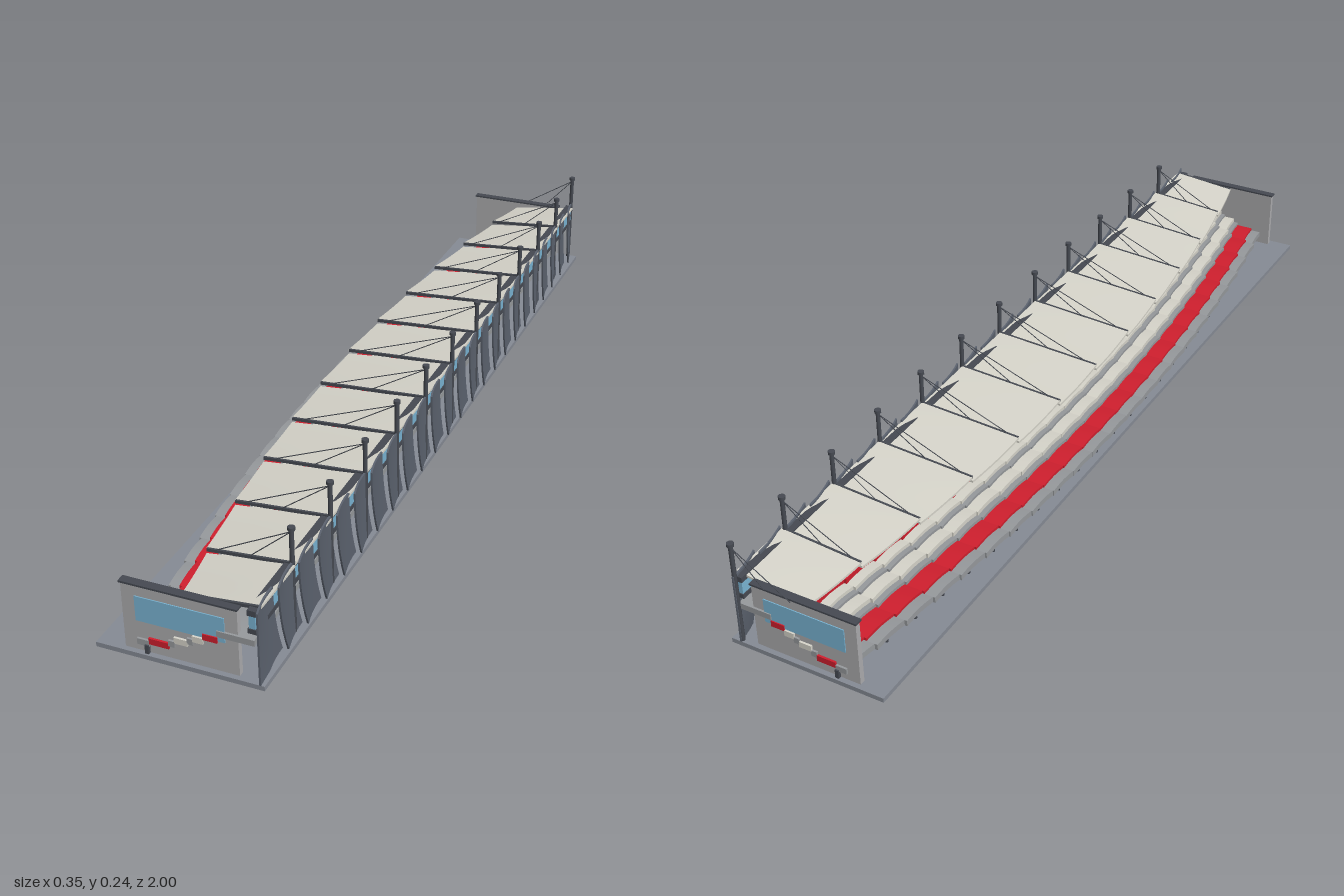
import * as THREE from 'three';
import { toCreasedNormals } from 'three/addons/utils/BufferGeometryUtils.js';

const mat = (name, color) => {
  const m = new THREE.MeshStandardMaterial({ color });
  m.name = name;
  return m;
};

export function createModel() {
  const M = {
    slate: mat('slate panels', 0x5d6470),
    dark: mat('dark steel', 0x464a52),
    base: mat('base grey', 0x868b95),
    wall: mat('wall grey', 0xacacae),
    step: mat('step grey', 0x96999c),
    cream: mat('cream', 0xd6d4ca),
    red: mat('red seats', 0xd01f2e),
    glass: mat('blue glass', 0x7ab5d4),
  };
  const model = new THREE.Group();
  const add = (name, geo, m, x = 0, y = 0, z = 0, parent = model) => {
    const mesh = new THREE.Mesh(geo, m);
    mesh.name = name;
    mesh.position.set(x, y, z);
    parent.add(mesh);
    return mesh;
  };
  // box given by its limits
  const box = (name, m, x0, x1, y0, y1, z0, z1, parent) =>
    add(name, new THREE.BoxGeometry(x1 - x0, y1 - y0, z1 - z0), m,
      (x0 + x1) / 2, (y0 + y1) / 2, (z0 + z1) / 2, parent);
  // box whose three 0..1 coordinates (x, y, z) are remapped by a rule
  const bent = (nx, ny, nz, rule) => {
    const g = new THREE.BoxGeometry(1, 1, 1, nx, ny, nz);
    const p = g.attributes.position;
    for (let i = 0; i < p.count; i++) {
      p.setXYZ(i, ...rule(p.getX(i) + 0.5, p.getY(i) + 0.5, p.getZ(i) + 0.5));
    }
    return toCreasedNormals(g, 0.5);
  };
  // straight round bar between two points
  const bar = (name, m, a, b, r, parent) => {
    const A = new THREE.Vector3(...a), B = new THREE.Vector3(...b);
    const d = B.clone().sub(A);
    const mesh = add(name, new THREE.CylinderGeometry(r, r, d.length(), 6), m, 0, 0, 0, parent);
    mesh.position.copy(A).add(B).multiplyScalar(0.5);
    mesh.quaternion.setFromUnitVectors(new THREE.Vector3(0, 1, 0), d.normalize());
  };
  const group = (name) => {
    const g = new THREE.Group();
    g.name = name;
    model.add(g);
    return g;
  };
  const lerp = THREE.MathUtils.lerp;
  const clamp = THREE.MathUtils.clamp;

  // plan curves: seating bow, roof front edge, back line
  const bow = (z) => -0.085 * (1 - z * z);
  const roofFront = (z) => -0.092 + 0.097 * z * z;
  const backX = (z) => 0.161 - 0.012 * z * z;

  box('base', M.base, -0.175, 0.17, 0, 0.01, -1, 1);

  // back wall of 24 overlapping curved panels
  const backWall = group('backWall');
  const N = 24;
  for (let i = 0; i < N; i++) {
    const z0 = -1 + (2 * i) / N;
    add('wallPanel', bent(1, 6, 5, (u, h, v) => {
      const sweep = i === 0 && v === 0 ? 0 : -0.03 * (1 - h) ** 2;
      const z = clamp(z0 + (v * 2) / N + (i === N - 1 && v === 1 ? 0 : sweep), -1, 1);
      return [backX(z) - 0.003 + 0.013 * v * v + u * 0.004, 0.01 + h * 0.157, z];
    }), M.slate, 0, 0, 0, backWall);
  }

  // gallery under the rear of the roof
  const gallery = group('gallery');
  box('galleryTop', M.dark, 0.136, 0.153, 0.15, 0.162, -0.99, 0.99, gallery);
  box('gallerySill', M.dark, 0.136, 0.153, 0.112, 0.122, -0.99, 0.99, gallery);
  box('galleryGlass', M.glass, 0.138, 0.151, 0.122, 0.15, -0.988, 0.988, gallery);

  // seating rows: [front, back, top height, material, name]
  const rows = [
    [-0.086, -0.061, 0.038, M.step, 'frontStep'],
    [-0.062, -0.02, 0.044, M.red, 'lowerRedSeats'],
    [-0.021, -0.008, 0.051, M.step, 'step'],
    [-0.009, 0.019, 0.061, M.cream, 'creamSeats'],
    [0.018, 0.03, 0.067, M.step, 'step'],
    [0.029, 0.051, 0.075, M.cream, 'creamSeats'],
    [0.05, 0.08, 0.086, M.red, 'upperRedSeats'],
    [0.079, null, 0.101, M.step, 'concourse'],
  ];
  const seating = group('seating');
  for (let i = 0; i < N; i++) {
    const z0 = -0.993 + (1.986 * i) / N, z1 = z0 + 1.986 / N;
    const mid = bow((z0 + z1) / 2);
    for (const [a, b, top, m, name] of rows) {
      add(name, bent(1, 1, 4, (u, h, v) => {
        const z = lerp(z0, z1, v);
        const s = mid + 0.5 * (bow(z) - mid);
        const x = lerp(a + s, b === null ? 0.15 : b + s, u);
        return [x, top + 0.004 * Math.sin(Math.PI * v) - (1 - h) * 0.013, z];
      }), m, 0, 0, 0, seating);
    }
    // posts and raking beam
    const zp = (z0 + z1) / 2;
    for (const [dx, h] of [[-0.074, 0.03], [0, 0.052], [0.065, 0.076]]) {
      bar('standPost', M.dark, [mid + dx, 0.009, zp], [mid + dx, h, zp], 0.0035, seating);
    }
    bar('rakingBeam', M.dark, [mid - 0.08, 0.024, zp], [mid + 0.09, 0.082, zp], 0.004, seating);
  }

  // roof of 12 rising panels with dark ribs at the seams
  const roof = group('roof');
  const R = 12;
  const roofY = (u, v) => 0.14 + 0.022 * u + 0.011 * v * v * (1 - 0.7 * u);
  for (let i = 0; i < R; i++) {
    const z0 = Math.max(-0.975, -1 + (2 * i) / R);
    const z1 = Math.min(0.975, -1 + (2 * (i + 1)) / R);
    add('roofPanel', bent(3, 1, 6, (u, h, v) => {
      const z = lerp(z0, z1, v);
      return [lerp(roofFront(z), 0.158, u), roofY(u, v) + (h - 1) * 0.005, z];
    }), M.cream, 0, 0, 0, roof);
    add('roofRib', bent(3, 1, 1, (u, h, v) =>
      [lerp(roofFront(z1) + 0.001, 0.157, u), roofY(u, 1) - 0.006 + h * 0.0065, z1 - 0.003 + v * 0.005]),
    M.dark, 0, 0, 0, roof);
  }

  // masts with caps and paired stay cables
  const masts = group('masts');
  for (let i = 0; i < R; i++) {
    const z = i === 0 ? -0.994 : -1 + (2 * i) / R;
    const x = backX(z) - 0.001;
    add('mast', new THREE.CylinderGeometry(0.0048, 0.0048, 0.23, 10), M.dark, x, 0.124, z, masts);
    add('mastCap', new THREE.CylinderGeometry(0.0075, 0.0075, 0.007, 10), M.dark, x, 0.2395, z, masts);
    const f = roofFront(z);
    for (const u of [0.12, 0.5]) {
      bar('stayCable', M.dark, [x, 0.232, z], [lerp(f, 0.158, u), roofY(u, 1), z], 0.001, masts);
    }
  }

  // end walls with a coping and a long window on the outside
  for (const s of [1, -1]) {
    const end = group(s > 0 ? 'frontEndWall' : 'backEndWall');
    const slab = (name, m, x0, x1, y0, y1, za, zb) =>
      box(name, m, x0, x1, y0, y1, Math.min(s * za, s * zb), Math.max(s * za, s * zb), end);
    slab('endWall', M.wall, -0.118, 0.116, 0.01, 0.154, 0.977, 0.989);
    slab('coping', M.dark, -0.121, 0.118, 0.154, 0.158, 0.974, 0.992);
    slab('endWindow', M.glass, -0.091, 0.09, 0.077, 0.131, 0.988, 0.991);
    slab('endPost', M.dark, -0.074, -0.066, 0.01, 0.029, 0.989, 0.996);
  }
  return model;
}
